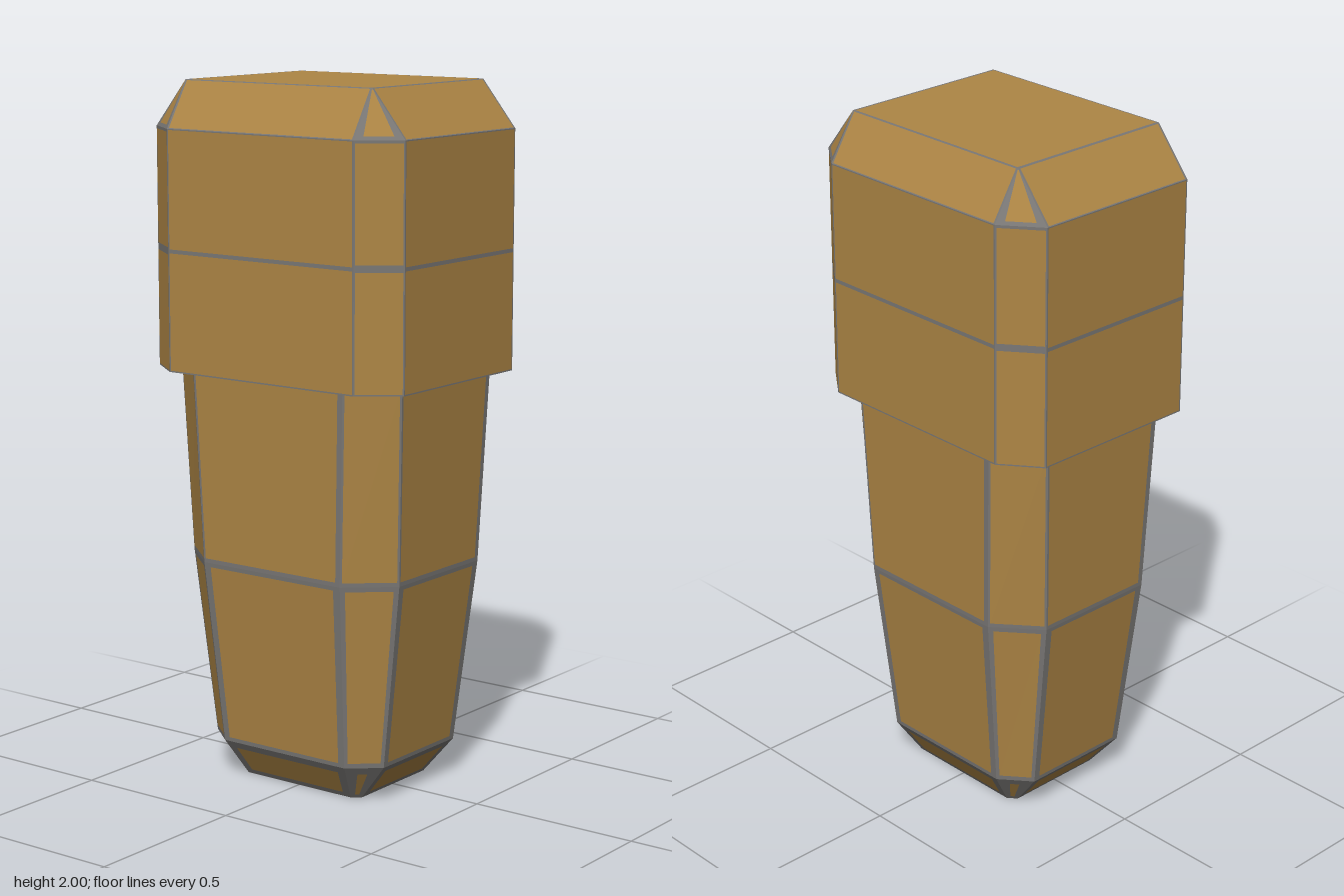
import * as THREE from 'three';

const wood = new THREE.MeshStandardMaterial({ color: 0xae8645 });
wood.name = 'ochre body';
const worn = new THREE.MeshStandardMaterial({ color: 0x7a7876 });
worn.name = 'worn grey edge';

// Octagonal section: half sizes hx, hz; the corner cut runs from (cx, hz) to (hx, cz)
function ring(y, hx, hz, cx, cz) {
  return [[-cx, hz], [cx, hz], [hx, cz], [hx, -cz], [cx, -hz], [-cx, -hz], [-hx, -cz], [-hx, cz]]
    .map(([x, z]) => new THREE.Vector3(x, y, z));
}

function addTri(out, a, b, c) {
  const area = b.clone().sub(a).cross(c.clone().sub(a)).length();
  if (area > 1e-7) for (const p of [a, b, c]) out.push(p.x, p.y, p.z);
}

function addQuad(out, a, b, c, d) {
  addTri(out, a, b, c);
  addTri(out, a, c, d);
}

// Quad panel with a worn frame; margins are bottom, right, top, left
function addPanel(store, [a, b, c, d], [mb, mr, mt, ml]) {
  const w = (a.distanceTo(b) + d.distanceTo(c)) / 2;
  const h = (a.distanceTo(d) + b.distanceTo(c)) / 2;
  const part = (m, size) => Math.min(m / size, 0.4);
  const at = (u, v) => a.clone().lerp(b, u).lerp(d.clone().lerp(c, u), v);
  const u0 = part(ml, w), u1 = 1 - part(mr, w), v0 = part(mb, h), v1 = 1 - part(mt, h);
  const outer = [a, b, c, d];
  const inner = [at(u0, v0), at(u1, v0), at(u1, v1), at(u0, v1)];
  addQuad(store.body, ...inner);
  for (let i = 0; i < 4; i++) {
    const j = (i + 1) % 4;
    addQuad(store.edge, outer[i], outer[j], inner[j], inner[i]);
  }
}

// Eight panels between two sections
function addTier(store, low, high, flatMargins, cornerMargins) {
  for (let i = 0; i < 8; i++) {
    const j = (i + 1) % 8;
    addPanel(store, [low[i], low[j], high[j], high[i]], i % 2 ? cornerMargins : flatMargins);
  }
}

function addUnderside(store, r) {
  for (let i = 1; i < 7; i++) addTri(store.body, r[0], r[i + 1], r[i]);
}

function makePart(name, store) {
  const group = new THREE.Group();
  group.name = name;
  for (const [key, label, material] of [['body', 'Faces', wood], ['edge', 'WornEdges', worn]]) {
    const geometry = new THREE.BufferGeometry();
    geometry.setAttribute('position', new THREE.Float32BufferAttribute(store[key], 3));
    geometry.computeVertexNormals();
    const mesh = new THREE.Mesh(geometry, material);
    mesh.name = name + label;
    group.add(mesh);
  }
  return group;
}

export function createModel() {
  const model = new THREE.Group();
  model.name = 'taperedPeg';

  // Tapering shaft with a bevelled foot
  const shaft = { body: [], edge: [] };
  const s = [
    ring(0, 0.21, 0.17, 0.185, 0.15),
    ring(0.11, 0.30, 0.24, 0.215, 0.17),
    ring(0.645, 0.365, 0.295, 0.24, 0.19),
    ring(1.19, 0.386, 0.31, 0.26, 0.21),
  ];
  addTier(shaft, s[0], s[1], [0.018, 0.026, 0.026, 0.026], [0.015, 0.025, 0.03, 0.025]);
  addTier(shaft, s[1], s[2], [0.012, 0.022, 0.012, 0.02], [0.014, 0.012, 0.014, 0.012]);
  addTier(shaft, s[2], s[3], [0.012, 0.016, 0.003, 0.006], [0.012, 0.006, 0.003, 0.006]);
  addUnderside(shaft, s[0]);
  model.add(makePart('shaft', shaft));

  // Wider head with a bevelled top
  const head = { body: [], edge: [] };
  const h = [
    ring(1.19, 0.428, 0.342, 0.32, 0.26),
    ring(1.53, 0.428, 0.342, 0.32, 0.26),
    ring(1.868, 0.428, 0.342, 0.32, 0.26),
    ring(2, 0.32, 0.26, 0.32, 0.26),
  ];
  addTier(head, h[0], h[1], [0.004, 0.004, 0.006, 0.004], [0.004, 0.004, 0.01, 0.004]);
  addTier(head, h[1], h[2], [0.005, 0.004, 0.003, 0.004], [0.01, 0.004, 0.008, 0.004]);
  addTier(head, h[2], h[3], [0.003, 0.006, 0.003, 0.006], [0.012, 0.012, 0.005, 0.012]);
  addPanel(head, [h[3][0], h[3][1], h[3][3], h[3][5]], [0.004, 0.006, 0.004, 0.006]);
  addUnderside(head, h[0]);
  model.add(makePart('head', head));

  return model;
}
